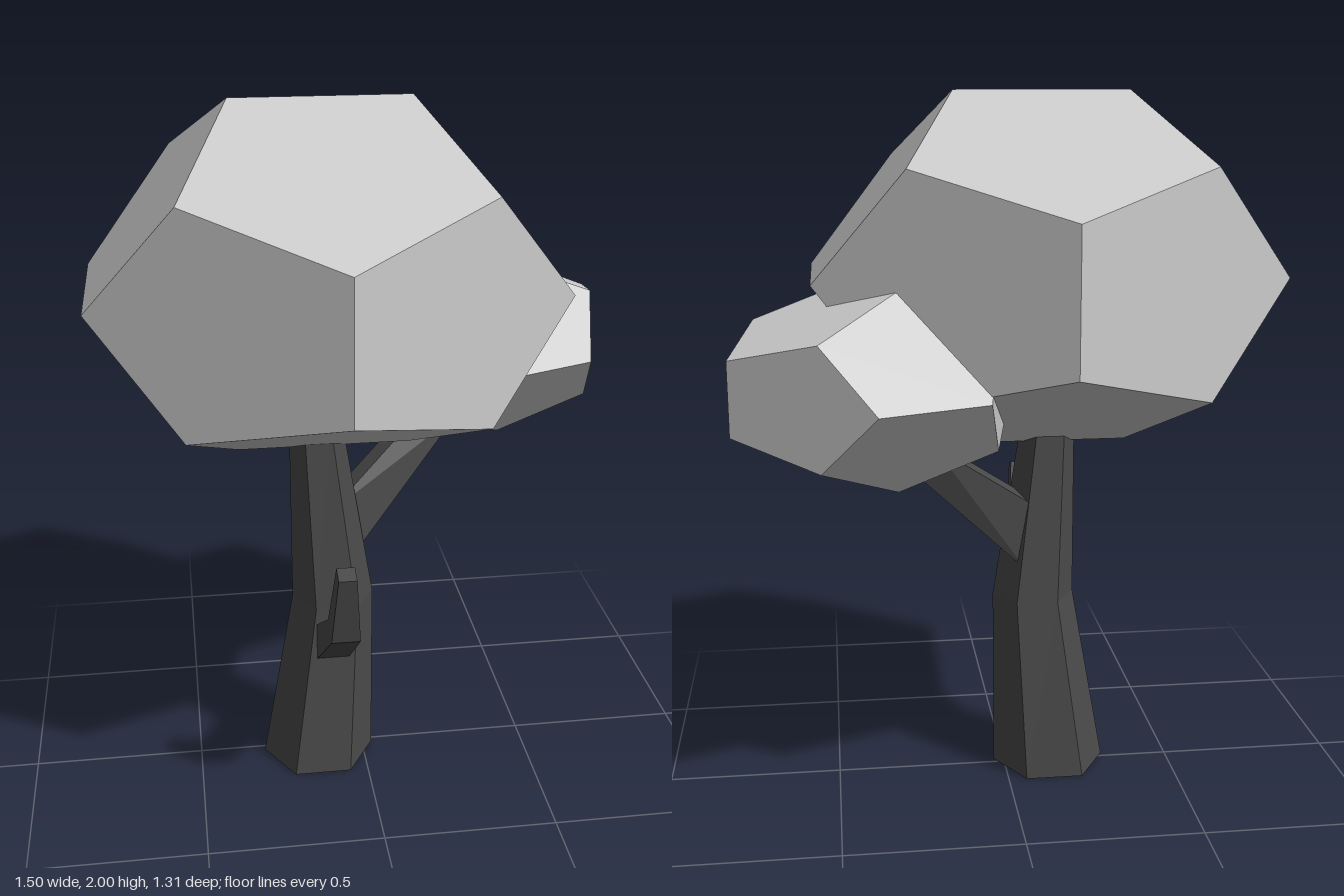
import * as THREE from 'three';

const foliage = new THREE.MeshStandardMaterial({ color: 0xcccccc });
foliage.name = 'foliageGrey';
const bark = new THREE.MeshStandardMaterial({ color: 0x4a4a4a });
bark.name = 'barkGrey';

// Skins a series of rings (counterclockwise seen from the tip) with flat faces and end caps
function loft(name, rings) {
  const pos = [];
  const n = rings[0].length;
  const tri = (a, b, c) => pos.push(...a, ...b, ...c);
  for (let r = 0; r < rings.length - 1; r++) {
    for (let i = 0; i < n; i++) {
      const j = (i + 1) % n;
      const [a, b, c, d] = [rings[r][i], rings[r][j], rings[r + 1][j], rings[r + 1][i]];
      tri(a, b, c);
      tri(a, c, d);
    }
  }
  const first = rings[0], last = rings[rings.length - 1];
  for (let i = 1; i < n - 1; i++) {
    tri(first[0], first[i + 1], first[i]);
    tri(last[0], last[i], last[i + 1]);
  }
  const geo = new THREE.BufferGeometry();
  geo.setAttribute('position', new THREE.Float32BufferAttribute(pos, 3));
  geo.computeVertexNormals();
  const mesh = new THREE.Mesh(geo, bark);
  mesh.name = name;
  return mesh;
}

// Faceted leaf clump: a stretched dodecahedron
function crown(name, center, radii, turn) {
  const geo = new THREE.DodecahedronGeometry(1);
  geo.scale(...radii);
  geo.rotateY(turn);
  geo.translate(...center);
  geo.computeVertexNormals();
  const mesh = new THREE.Mesh(geo, foliage);
  mesh.name = name;
  return mesh;
}

export function createModel() {
  const tree = new THREE.Group();
  tree.name = 'tree';

  // Six-sided bent trunk: centre x, height, radius
  const trunkRings = [[-0.137, 0, 0.167], [-0.088, 0.54, 0.12], [-0.133, 1.1, 0.075]]
    .map(([x, y, r]) => Array.from({ length: 6 }, (_, i) => {
      const a = i * Math.PI / 3;
      return [x + r * Math.cos(a), y, 0.02 - r * Math.sin(a)];
    }));
  tree.add(loft('trunk', trunkRings));

  // Bare front branch: half width, lower edge (z, y), upper edge (z, y)
  const x = -0.1;
  const stubRings = [
    [0.05, 0.05, 0.32, 0.05, 0.445],
    [0.04, 0.435, 0.61, 0.355, 0.64],
    [0.025, 0.48, 0.82, 0.43, 0.835],
  ].map(([w, z0, y0, z1, y1]) =>
    [[x - w, y0, z0], [x + w, y0, z0], [x + w, y1, z1], [x - w, y1, z1]]);
  tree.add(loft('bareBranch', stubRings));

  // Side branch carrying the small crown: lower edge (x, y), upper edge (x, y), z range
  const sideRings = [
    [-0.06, 0.63, -0.1, 0.815, 0.05, -0.04],
    [0.31, 1.02, 0.22, 1.06, -0.15, -0.235],
  ].map(([x0, y0, x1, y1, zf, zb]) =>
    [[x0, y0, zf], [x0, y0, zb], [x1, y1, zb], [x1, y1, zf]]);
  tree.add(loft('sideBranch', sideRings));

  tree.add(crown('mainCrown', [-0.105, 1.505, 0], [0.69, 0.53, 0.696], 0));
  tree.add(crown('smallCrown', [0.378, 1.24, -0.252], [0.402, 0.28, 0.432], -1.19));
  return tree;
}
